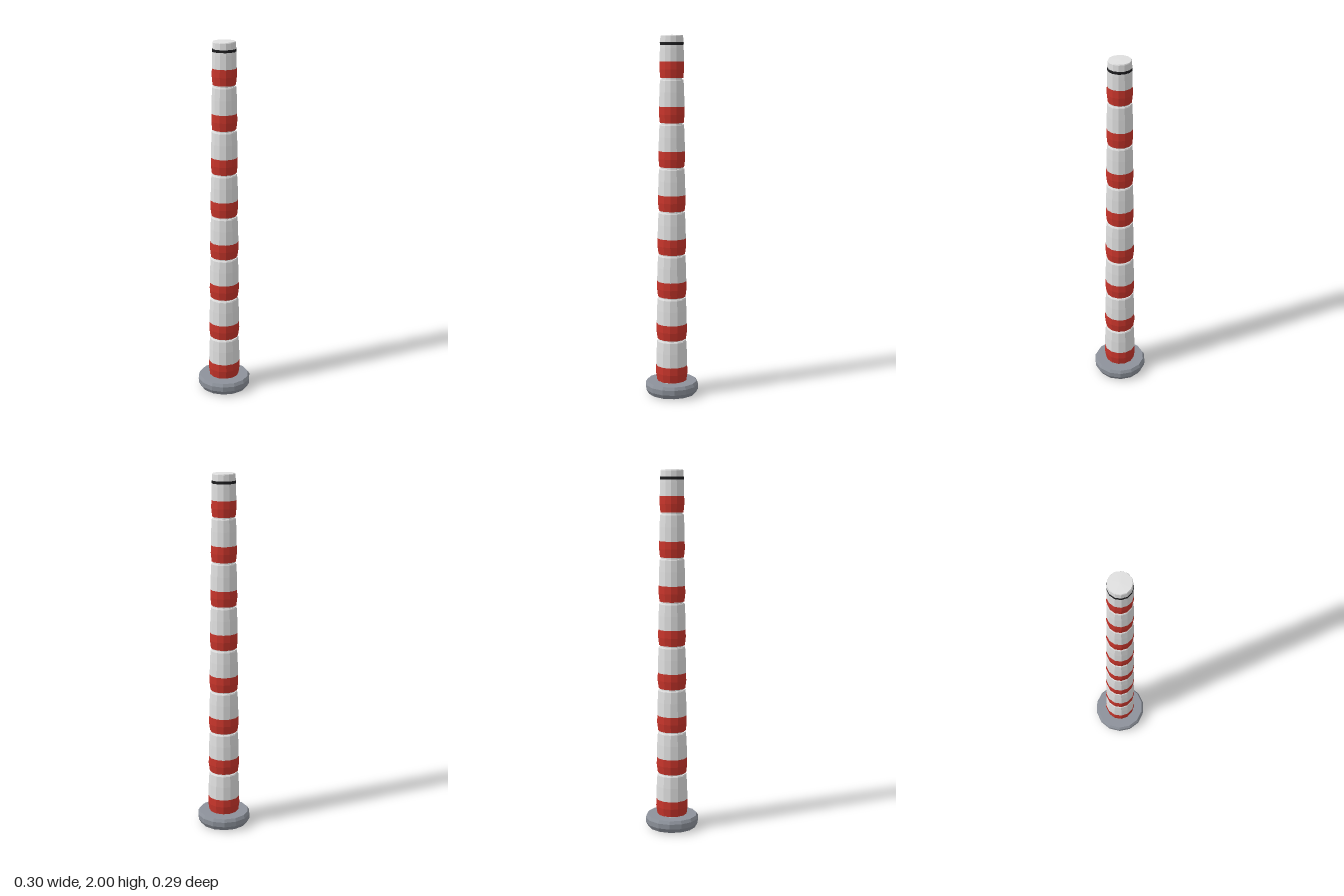
import * as THREE from 'three';

const makeMaterial = (name, color) => {
  const m = new THREE.MeshStandardMaterial({ color, flatShading: true });
  m.name = name;
  return m;
};

export function createModel() {
  const white = makeMaterial('white', 0xe0e0e0);
  const red = makeMaterial('red', 0xc8352b);
  const grey = makeMaterial('grey', 0x8d929b);
  const black = makeMaterial('black', 0x1e1e20);

  const group = new THREE.Group();
  group.name = 'stripedPole';

  // Faceted turned part with one corner on the -x side; profile runs upwards as [radius, y]
  const turned = (name, profile, sides, material) => {
    const points = profile.map(([r, y]) => new THREE.Vector2(r, y));
    const mesh = new THREE.Mesh(new THREE.LatheGeometry(points, sides, -Math.PI / 2), material);
    mesh.name = name;
    group.add(mesh);
    return mesh;
  };

  // Round foot with bevelled rim
  turned('base', [[0, 0.006], [0.135, 0.006], [0.149, 0.03], [0.15, 0.058], [0.14, 0.075], [0, 0.075]], 14, grey);

  // Core showing in the narrow joints between segments
  turned('core', [[0, 0], [0.04, 0], [0.04, 0.07], [0.074, 0.07], [0.055, 1.98], [0, 1.98]], 13, white);

  // Eight stacked segments, each a red collar below a white sleeve
  const count = 8, pitch = 0.2415;
  for (let i = 0; i < count; i++) {
    const y = 0.08 + i * pitch;
    const r = 0.09 - (0.0225 * i) / (count - 1);
    const last = i === count - 1;
    const top = last ? 2 : y + 0.234;
    turned('collar' + (i + 1),
      [[0, y], [r * 0.93, y], [r, y + 0.045], [r * 0.985, y + 0.087]], 13, red);
    turned('sleeve' + (i + 1),
      [[r * 0.985, y + 0.087], [r * 0.965, top - 0.07], [r * 0.92, top - 0.007],
        [r * 0.88, top - (last ? 0.002 : 0)], [0, top]], 13, white);
  }

  // Dark band near the tip
  turned('topBand', [[0.061, 1.942], [0.065, 1.946], [0.0655, 1.958], [0.0605, 1.964]], 13, black);

  return group;
}
